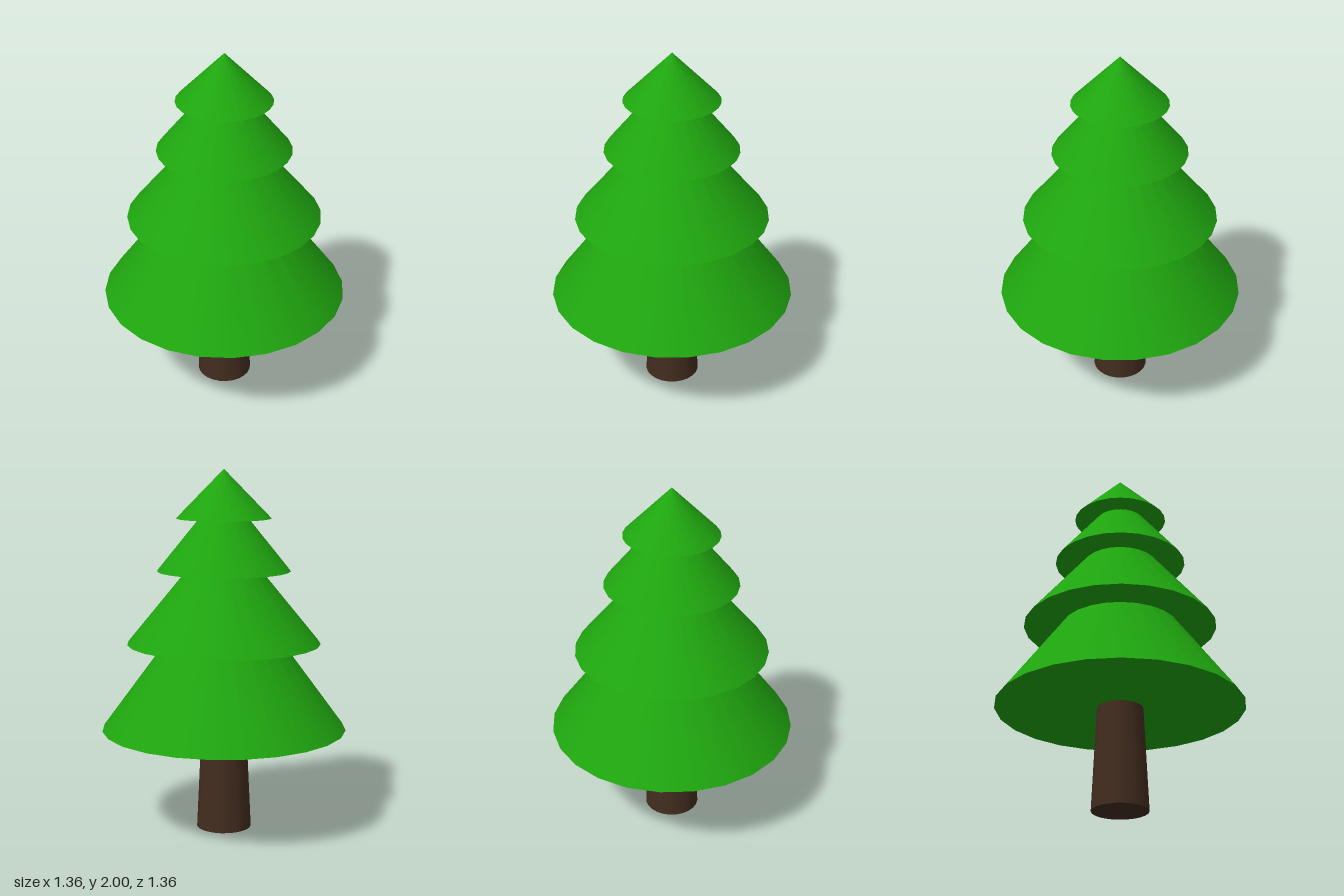
import * as THREE from 'three';

const SIDES = 24;

export function createModel() {
  const tree = new THREE.Group();
  tree.name = 'pineTree';

  const leaves = new THREE.MeshStandardMaterial({ color: 0x1fa50f });
  const bark = new THREE.MeshStandardMaterial({ color: 0x422c1e });

  // Adds a closed tapered part standing on the given height
  const addTaper = (name, topRadius, baseRadius, baseY, topY, material) => {
    const height = topY - baseY;
    const mesh = new THREE.Mesh(
      new THREE.CylinderGeometry(topRadius, baseRadius, height, SIDES),
      material
    );
    mesh.name = name;
    mesh.position.y = baseY + height / 2;
    tree.add(mesh);
  };

  // Trunk, narrowing upward into the lowest branches
  addTaper('trunk', 0.123, 0.153, 0, 0.62, bark);

  // Overlapping cones of foliage: base radius, base height, tip height
  const tiers = [
    ['bottomFoliage', 0.678, 0.57, 1.49],
    ['lowerFoliage', 0.534, 1.05, 1.7],
    ['upperFoliage', 0.366, 1.45, 1.9],
    ['topFoliage', 0.26, 1.735, 2],
  ];
  for (const [name, radius, baseY, tipY] of tiers) {
    addTaper(name, 0, radius, baseY, tipY, leaves);
  }

  return tree;
}
